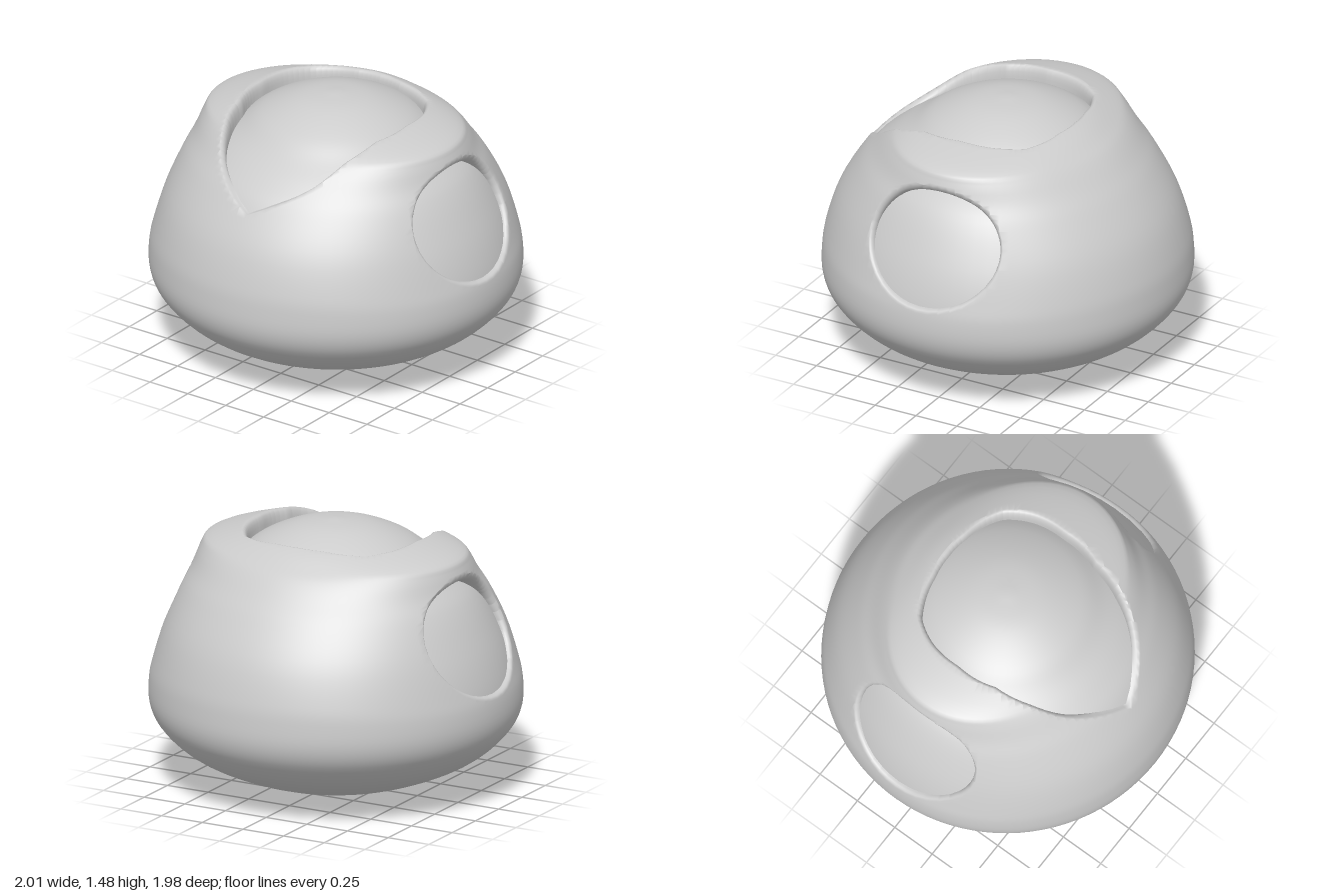
import * as THREE from 'three';
import { mergeVertices } from 'three/addons/utils/BufferGeometryUtils.js';

const V = (x, y, z) => new THREE.Vector3(x, y, z);
const sample = (rows, n) =>
  new THREE.CatmullRomCurve3(rows.map(([r, y, d = 0]) => V(r, y, d)), false, 'centripetal').getPoints(n);

// Shell profile: radius, height, extra radius at the shoulders
const shellRows = sample([
  [0, 0.005], [0.3, 0.03], [0.58, 0.11], [0.82, 0.23], [0.96, 0.37], [1, 0.47], [1, 0.6],
  [0.985, 0.7, -0.01], [0.92, 0.9, -0.005], [0.8, 1.1, 0.04], [0.72, 1.2, 0.07], [0.63, 1.3, 0.125],
  [0.57, 1.345, 0.155], [0.45, 1.415, 0.05], [0.3, 1.45], [0, 1.48],
], 64);

// Core profile, visible through the openings
const coreRows = sample([
  [0, 0.03], [0.3, 0.055], [0.57, 0.135], [0.8, 0.25], [0.94, 0.385], [0.975, 0.47], [0.975, 0.58],
  [0.945, 0.72], [0.88, 0.89], [0.76, 1.1], [0.65, 1.2], [0.52, 1.29], [0.4, 1.375], [0.2, 1.455], [0, 1.48],
], 64);

// Piecewise-linear lookup, searching from the end of the list
function lookUp(points, from, to, value) {
  for (let i = points.length - 1; i > 0; i--) {
    const a = points[i], b = points[i - 1];
    if ((value - a[from]) * (value - b[from]) <= 0 && a[from] !== b[from])
      return THREE.MathUtils.lerp(a[to], b[to], (value - a[from]) / (b[from] - a[from]));
  }
  return points[0][to];
}

// Neck opening as a polar outline around (0, NECK_Z), seen from above
const NECK_Z = 0.05, NECK_SCALE = 0.94;
const neckOutline = [
  [0, 0.775], [0.18, 0.69], [0.3, 0.58], [0.38, 0.44], [0.43, 0.25],
  [0.46, 0.02], [0.44, -0.16], [0.36, -0.3], [0.14, -0.38], [0, -0.395],
].map(([x, z]) => ({ angle: Math.atan2(x, z - NECK_Z), radius: Math.hypot(x, z - NECK_Z) / NECK_SCALE }));

// Both are negative inside the opening
function neckField(p) {
  if (p.y < 0.8) return 1;
  const angle = Math.atan2(Math.abs(p.x), p.z - NECK_Z);
  return Math.hypot(p.x, p.z - NECK_Z) / lookUp(neckOutline, 'angle', 'radius', angle) - 1;
}
const armField = (p) => Math.hypot((p.z + 0.01) / 0.4, (p.y - 0.945) / 0.325) - 1;
const field = (p) => Math.min(neckField(p), armField(p));

// Rounded rim section from a point on the opening's edge down to the core
function rimSection(p) {
  let end, bend;
  if (Math.abs(neckField(p)) < Math.abs(armField(p))) {
    const x = p.x * NECK_SCALE, z = NECK_Z + (p.z - NECK_Z) * NECK_SCALE;
    end = V(x, lookUp(coreRows, 'x', 'y', Math.hypot(x, z)) - 0.006, z);
    bend = V(x, p.y, z);
  } else {
    const z = -0.01 + (p.z + 0.01) * 0.9375, y = 0.93 + (p.y - 0.945) * 0.877;
    const r = lookUp(coreRows, 'y', 'x', y) - 0.006;
    end = V(Math.sign(p.x) * Math.sqrt(r * r - z * z), y, z);
    bend = V(p.x, y, z);
  }
  return new THREE.QuadraticBezierCurve3(p, bend, end).getPoints(5);
}

function shellGeometry(columns = 96) {
  const out = [];
  const tri = (...corners) => corners.forEach((c) => out.push(c.x, c.y, c.z));
  const grid = shellRows.map((row) => Array.from({ length: columns }, (_, j) => {
    const t = (j / columns) * Math.PI * 2;
    const r = Math.max(0, row.x + row.z * Math.abs(Math.cos(t)) ** 3);
    return V(r * Math.cos(t), row.y, r * Math.sin(t) * 0.988);
  }));

  // Keep the part of a triangle outside the openings and add the rim along the cut
  function clip(corners) {
    const f = corners.map(field), kept = [];
    let entry, exit;
    for (let i = 0; i < 3; i++) {
      const k = (i + 1) % 3;
      if (f[i] >= 0) kept.push(corners[i]);
      if ((f[i] >= 0) !== (f[k] >= 0)) {
        // Interpolate in a fixed direction so neighbours share the same point
        const [a, b] = f[i] >= 0 ? [i, k] : [k, i];
        const cut = corners[a].clone().lerp(corners[b], f[a] / (f[a] - f[b]));
        kept.push(cut);
        if (f[i] >= 0) exit = cut; else entry = cut;
      }
    }
    for (let i = 2; i < kept.length; i++) tri(kept[0], kept[i - 1], kept[i]);
    if (!exit) return;
    const A = rimSection(entry), B = rimSection(exit);
    for (let s = 0; s < A.length - 1; s++) {
      tri(A[s], B[s], B[s + 1]);
      tri(A[s], B[s + 1], A[s + 1]);
    }
  }

  for (let i = 0; i < grid.length - 1; i++)
    for (let j = 0; j < columns; j++) {
      const k = (j + 1) % columns;
      const a = grid[i][j], b = grid[i][k], c = grid[i + 1][j], d = grid[i + 1][k];
      if (i > 0) clip([a, c, b]);
      if (i < grid.length - 2) clip([b, c, d]);
      else clip([b, c, d]);
    }
  const geometry = new THREE.BufferGeometry();
  geometry.setAttribute('position', new THREE.Float32BufferAttribute(out, 3));
  return smooth(geometry);
}

function smooth(geometry) {
  geometry.deleteAttribute('uv');
  geometry.deleteAttribute('normal');
  const merged = mergeVertices(geometry, 1e-4);
  merged.computeVertexNormals();
  return merged;
}

export function createModel() {
  const group = new THREE.Group();
  group.name = 'roundGarmentBody';
  const add = (name, geometry, side) => {
    const mesh = new THREE.Mesh(geometry, new THREE.MeshStandardMaterial({ color: 0xcccccc, side }));
    mesh.name = name;
    group.add(mesh);
  };

  // Outer shell with neck and arm openings
  add('shell', shellGeometry(), THREE.DoubleSide);

  // Closed core filling the openings
  const core = new THREE.LatheGeometry(coreRows.map((p) => new THREE.Vector2(Math.max(0, p.x), p.y)), 64);
  add('core', smooth(core), THREE.FrontSide);
  return group;
}
